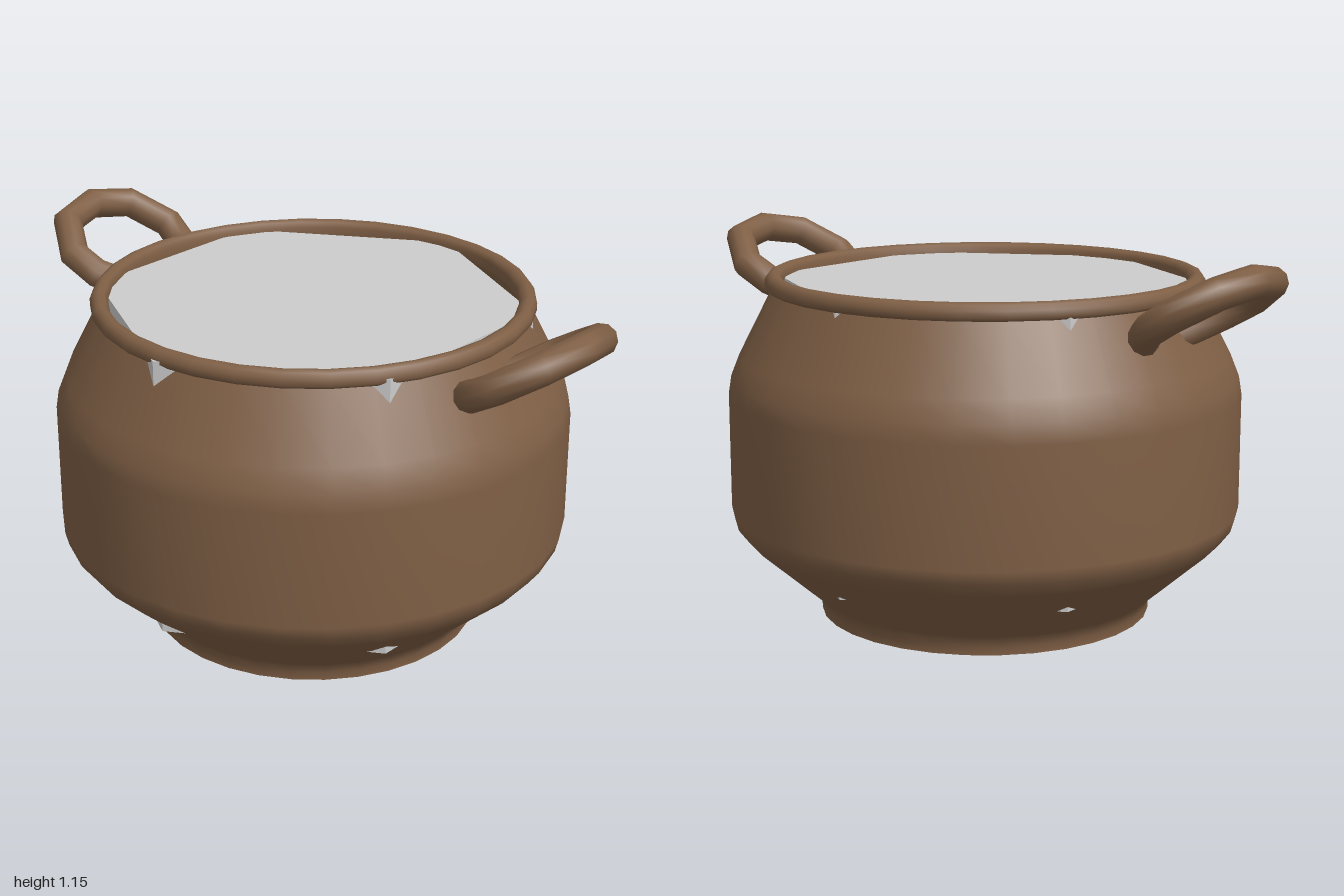
import * as THREE from 'three';

export function createModel() {
  const pot = new THREE.Group();
  pot.name = 'cookingPot';
  const clay = new THREE.MeshStandardMaterial({ color: 0x7f5f45, side: THREE.DoubleSide });
  clay.name = 'brown clay';
  const grey = new THREE.MeshStandardMaterial({ color: 0xcccccc, flatShading: true });
  grey.name = 'pale grey filling';

  function add(name, geometry, material, parent = pot) {
    const mesh = new THREE.Mesh(geometry, material);
    mesh.name = name;
    parent.add(mesh);
    return mesh;
  }
  const lathe = (points) =>
    new THREE.LatheGeometry(points.map(([r, y]) => new THREE.Vector2(r, y)), 32);

  // Round-bellied body on a narrow foot, open at the top
  add('body', lathe([
    [0.505, 0], [0.505, 0.025], [0.52, 0.06], [0.73, 0.245], [0.765, 0.29], [0.775, 0.33],
    [0.775, 0.68], [0.766, 0.735], [0.74, 0.8], [0.64, 0.995],
  ]), clay);

  // Flat underside
  add('base', new THREE.CircleGeometry(0.505, 32).rotateX(Math.PI / 2), clay);

  // Rounded rim
  add('rim', lathe([
    [0.61, 0.995], [0.65, 0.995], [0.66, 1.005], [0.66, 1.025], [0.65, 1.04],
    [0.635, 1.046], [0.618, 1.04], [0.608, 1.025], [0.61, 0.995],
  ]), clay);

  // Six-sided block of filling, whose corners break through the wall
  add('filling', new THREE.CylinderGeometry(0.658, 0.658, 0.85, 6), grey)
    .position.set(0, 0.59, 0.01);

  // Upturned loop handles, bent at each path point
  const half = [[0.63, 0.9, 0.07], [0.665, 0.92, 0.115], [0.735, 0.965, 0.19],
    [0.815, 1.012, 0.207], [0.92, 1.078, 0.135]];
  const loop = [...half, [0.952, 1.1, 0],
    ...half.slice().reverse().map(([x, y, z]) => [x, y, -z])];
  for (const side of [1, -1]) {
    const path = new THREE.CatmullRomCurve3(
      loop.map(([x, y, z]) => new THREE.Vector3(side * x, y, side * z)));
    // Put one tube ring on every path point
    path.getPointAt = (t, target) => path.getPoint(t, target);
    path.getTangentAt = (t, target) => path.getTangent(t, target);
    add(side > 0 ? 'leftHandle' : 'rightHandle',
      new THREE.TubeGeometry(path, loop.length - 1, 0.047, 10), clay);
  }
  return pot;
}
